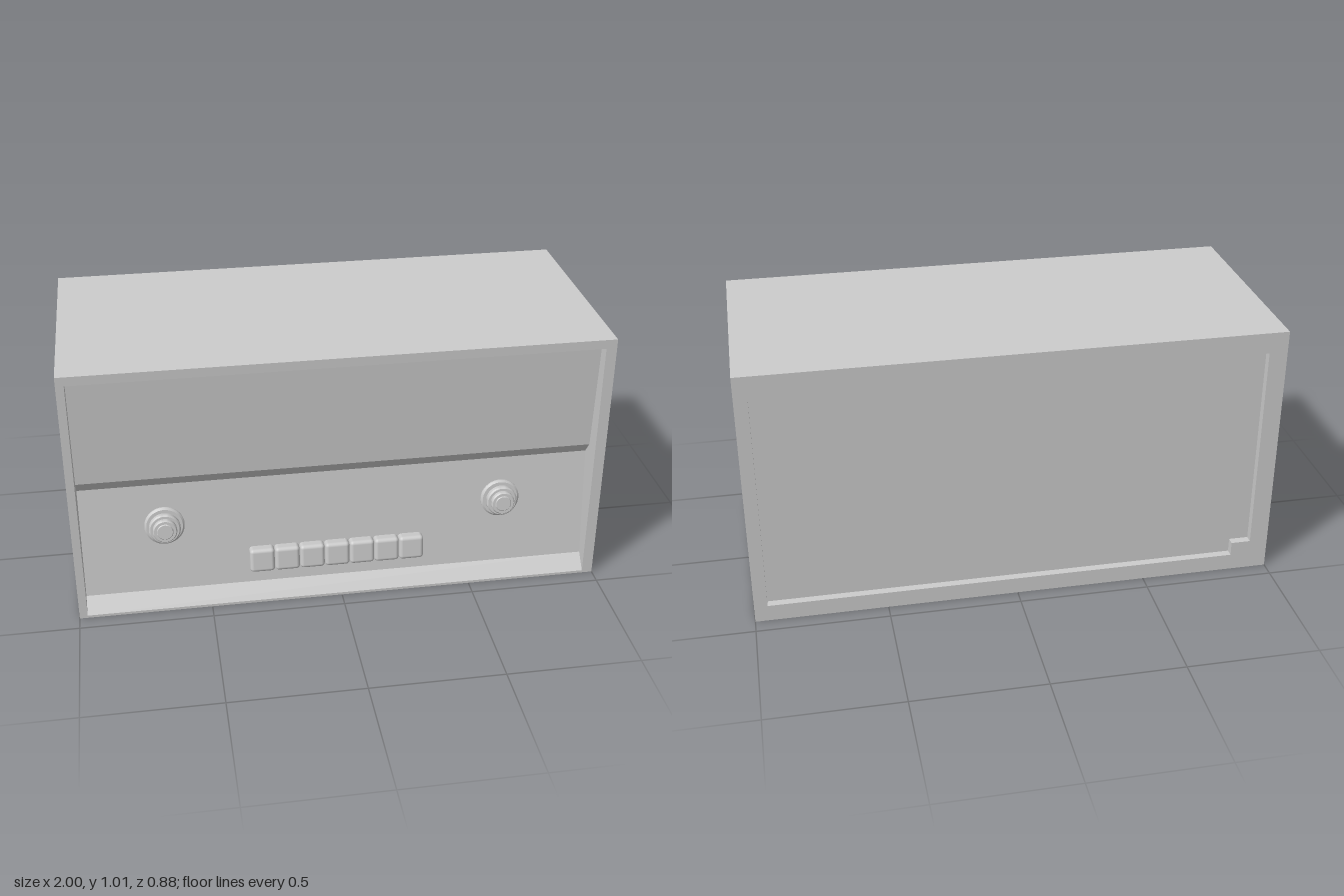
import * as THREE from 'three';
import { toCreasedNormals } from 'three/addons/utils/BufferGeometryUtils.js';
import { RoundedBoxGeometry } from 'three/addons/geometries/RoundedBoxGeometry.js';

const W = 1, H = 1.015, D = 0.44;             // half width, height, half depth
const BACK = -0.41;                           // plane of the recessed back panel
const LEFT = -0.97, RIGHT = 0.96;             // sides of the front opening
const LEDGE = { y: 0.065, z: 0.39 }, GROOVE = { y: 0.5, z: 0.34 };

const material = new THREE.MeshStandardMaterial({ color: 0xcccccc });

const polygon = (points) => new THREE.Shape(points.map(([x, y]) => new THREE.Vector2(x, y)));

function addMesh(parent, name, geometry) {
  const mesh = new THREE.Mesh(geometry, material);
  mesh.name = name;
  parent.add(mesh);
  return mesh;
}

// A rectangular cabinet section with an opening, running from z0 to z1
function frame(opening, z0, z1) {
  const shape = polygon([[-W, 0], [W, 0], [W, H], [-W, H]]);
  shape.holes.push(polygon(opening));
  return new THREE.ExtrudeGeometry(shape, { depth: z1 - z0, bevelEnabled: false }).translate(0, 0, z0);
}

// Stepped dial turned around its axis, pointing along +z
function knobGeometry() {
  const profile = [
    [0.075, 0], [0.075, 0.006], [0.068, 0.012], [0.053, 0.012], [0.053, 0.018],
    [0.059, 0.021], [0.059, 0.036], [0.054, 0.041], [0.045, 0.041],
    [0.045, 0.054], [0.041, 0.059], [0.031, 0.059], [0.028, 0.062], [0, 0.062],
  ].map(([r, y]) => new THREE.Vector2(r, y));
  const lathe = new THREE.LatheGeometry(profile, 40).rotateX(Math.PI / 2);
  return toCreasedNormals(lathe, 0.5);
}

export function createModel() {
  const radio = new THREE.Group();
  radio.name = 'radio';

  // Cabinet shell, with a notch in one corner of the back opening
  addMesh(radio, 'cabinet', frame(
    [[LEFT, 0.01], [RIGHT, 0.01], [RIGHT, 0.98], [LEFT, 0.98]], BACK, D));
  addMesh(radio, 'backFrame', frame(
    [[-0.93, 0.935], [0.95, 0.935], [0.95, 0.065], [-0.855, 0.065], [-0.855, 0.12], [-0.93, 0.12]], -D, BACK));

  // Body filling the cabinet: sloped ledge, control panel, overhang and speaker panel
  const profile = polygon([
    [BACK, 0.01], [D, 0.01], [LEDGE.z, LEDGE.y], [GROOVE.z, GROOVE.y],
    [0.375, 0.547], [0.395, 0.97], [D, 0.98], [BACK, 0.98],
  ]);
  addMesh(radio, 'frontPanel', new THREE.ExtrudeGeometry(profile, { depth: RIGHT - LEFT, bevelEnabled: false })
    .rotateY(-Math.PI / 2).translate(RIGHT, 0, 0));

  // Controls stand square to the leaning control panel
  const slope = (LEDGE.z - GROOVE.z) / (GROOVE.y - LEDGE.y);
  const mount = (object, x, y) => {
    object.position.set(x, y, LEDGE.z - (y - LEDGE.y) * slope);
    object.rotation.x = -Math.atan(slope);
  };

  const knob = knobGeometry();
  [['rightKnob', -0.66], ['leftKnob', 0.625]].forEach(([name, x]) => {
    mount(addMesh(radio, name, knob), x, 0.333);
  });

  // Row of push buttons
  const buttons = new THREE.Group();
  buttons.name = 'buttons';
  mount(buttons, -0.014, 0.167);
  radio.add(buttons);
  const count = 7, pitch = 0.0958;
  const button = new RoundedBoxGeometry(0.094, 0.094, 0.08, 3, 0.014);
  for (let i = 0; i < count; i++) {
    addMesh(buttons, 'button' + (i + 1), button).position.x = (i - (count - 1) / 2) * pitch;
  }

  return radio;
}
